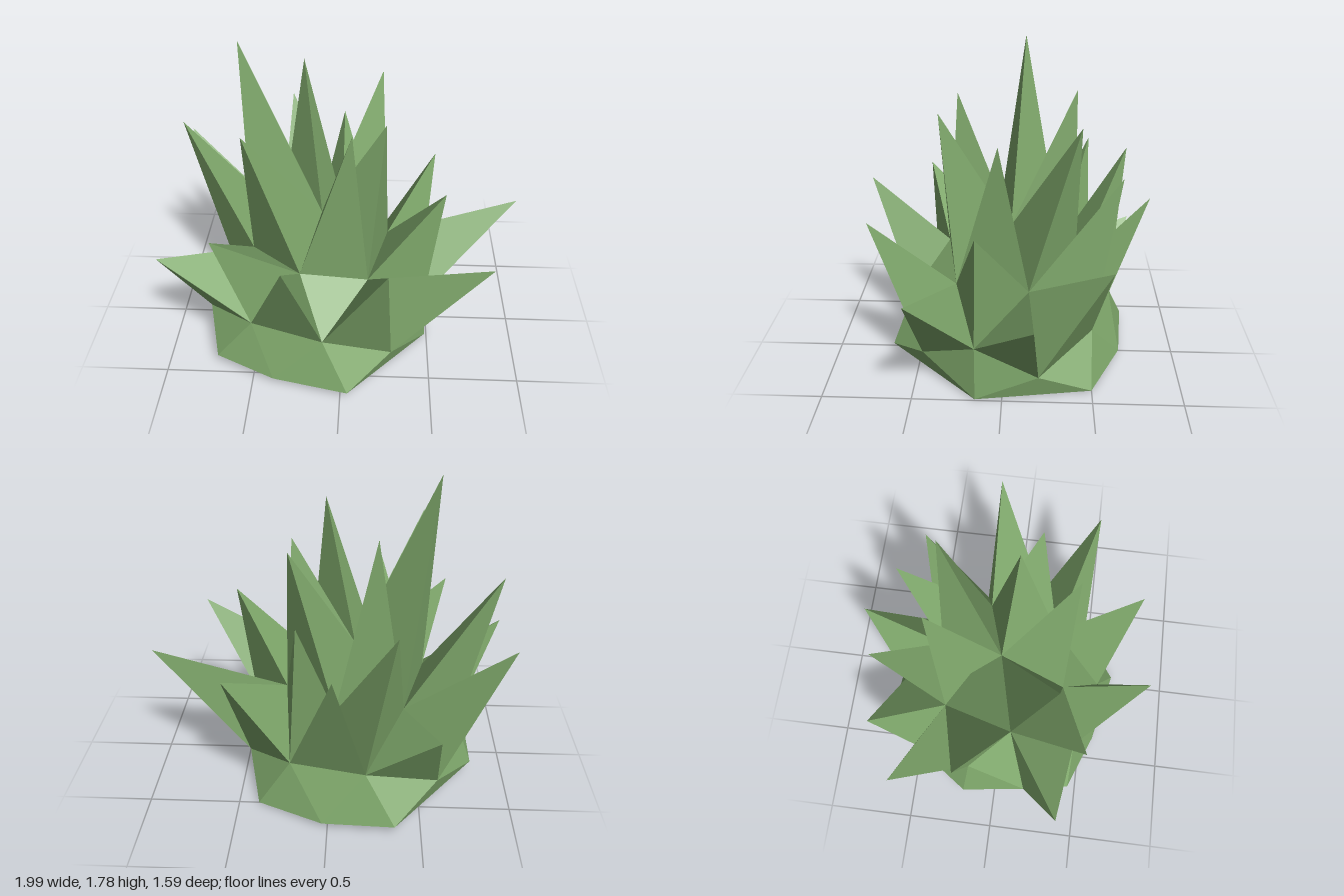
import * as THREE from 'three';

// Rings of the open, lumpy dome, each running the same way round
const rim = [
  [0.49, 0, 0.15], [0.04, 0.045, 0.67], [-0.38, 0.045, 0.58], [-0.71, 0.08, 0.45],
  [-0.81, 0.08, -0.19], [-0.36, 0.05, -0.72], [0.03, 0.025, -0.68], [0.39, 0, -0.5],
];
const belt = [
  [0.47, 0.32, 0.15], [0.28, 0.16, 0.46], [-0.1, 0.325, 0.56], [-0.5, 0.345, 0.45], [-0.78, 0.22, 0.18],
  [-0.71, 0.37, -0.16], [-0.59, 0.21, -0.52], [-0.2, 0.315, -0.62], [0.21, 0.285, -0.5], [0.47, 0.14, -0.2],
];
const crown = [
  [0.25, 0.55, -0.14], [0.14, 0.53, 0.27], [-0.23, 0.62, 0.34],
  [-0.52, 0.58, 0.07], [-0.4, 0.54, -0.33], [-0.03, 0.56, -0.4],
];
const top = [-0.13, 0.77, -0.03];

// Tips over the six triangles between the top and the crown ring
const crownTips = [
  [0.22, 1.38, 0.03], [0.05, 1.5, 0.35], [-0.5, 1.45, 0.3],
  [-0.55, 1.78, -0.1], [-0.24, 1.55, -0.39], [0.2, 1.48, -0.4],
];

// Spikes standing on one crown point and a belt edge: [crown, belt, tip]
const outerSpikes = [
  [1, 0, [0.8, 0.78, 0.46]], [1, 1, [0.24, 0.95, 0.73]], [2, 2, [-0.27, 1.0, 0.79]],
  [3, 3, [-1.0, 0.72, 0.37]], [3, 4, null], [4, 5, [-0.94, 1.02, -0.51]],
  [4, 6, [-0.57, 0.63, -0.75]], [5, 7, [-0.03, 1.0, -0.8]],
  [0, 8, [0.54, 0.84, -0.57]], [0, 9, [0.99, 0.78, -0.17]],
];

// Spikes standing on a crown edge and one belt point: [crown, belt, tip]
const innerSpikes = [
  [0, 0, [0.55, 1.02, 0.13]], [1, 2, null], [2, 3, [-0.67, 0.94, 0.49]],
  [3, 5, [-0.9, 1.26, -0.17]], [4, 7, [-0.34, 1.18, -0.69]], [5, 8, [0.15, 1.19, -0.63]],
];

// Rim point under each belt edge
const rimUnderBelt = [0, 1, 2, 3, 4, 4, 5, 6, 7, 0];
// Belt point above each rim edge
const beltOverRim = [1, 2, 3, 4, 6, 7, 8, 9];

const at = (ring, i) => ring[i % ring.length];

// Put the corners in order so the triangle faces away from the dome's middle
function outward(a, b, c) {
  const [p, q, r] = [a, b, c].map((v) => new THREE.Vector3(...v));
  const normal = q.clone().sub(p).cross(r.clone().sub(p));
  const away = p.clone().add(q).add(r).divideScalar(3).sub(new THREE.Vector3(-0.13, 0, -0.03));
  return normal.dot(away) < 0 ? [a, c, b] : [a, b, c];
}

// Three open-bottomed sides rising from a base triangle, or the bare triangle without a tip
function spike(base, tip) {
  const [a, b, c] = outward(...base);
  return tip ? [[a, b, tip], [b, c, tip], [c, a, tip]] : [[a, b, c]];
}

export function createModel() {
  const group = new THREE.Group();
  group.name = 'spikyBush';
  const leaf = new THREE.MeshStandardMaterial({ color: 0x7fa86b, flatShading: true, side: THREE.DoubleSide });

  function addPart(name, triangles) {
    const geometry = new THREE.BufferGeometry();
    geometry.setAttribute('position', new THREE.Float32BufferAttribute(triangles.flat(2), 3));
    geometry.computeVertexNormals();
    const mesh = new THREE.Mesh(geometry, leaf);
    mesh.name = name;
    group.add(mesh);
  }

  // Skirt: the faceted band between the rim and the belt
  addPart('skirt', [
    ...belt.map((p, i) => outward(p, at(belt, i + 1), rim[rimUnderBelt[i]])),
    ...rim.map((p, i) => outward(p, at(rim, i + 1), belt[beltOverRim[i]])),
  ]);

  // Tall spikes around the top
  crownTips.forEach((tip, i) => addPart('tallSpike', spike([top, crown[i], at(crown, i + 1)], tip)));

  // Lower spikes spreading outward; a few facets stay bare
  outerSpikes.forEach(([c, b, tip]) =>
    addPart(tip ? 'outerSpike' : 'bareFacet', spike([crown[c], belt[b], at(belt, b + 1)], tip)));
  innerSpikes.forEach(([c, b, tip]) =>
    addPart(tip ? 'innerSpike' : 'bareFacet', spike([crown[c], at(crown, c + 1), belt[b]], tip)));

  return group;
}
